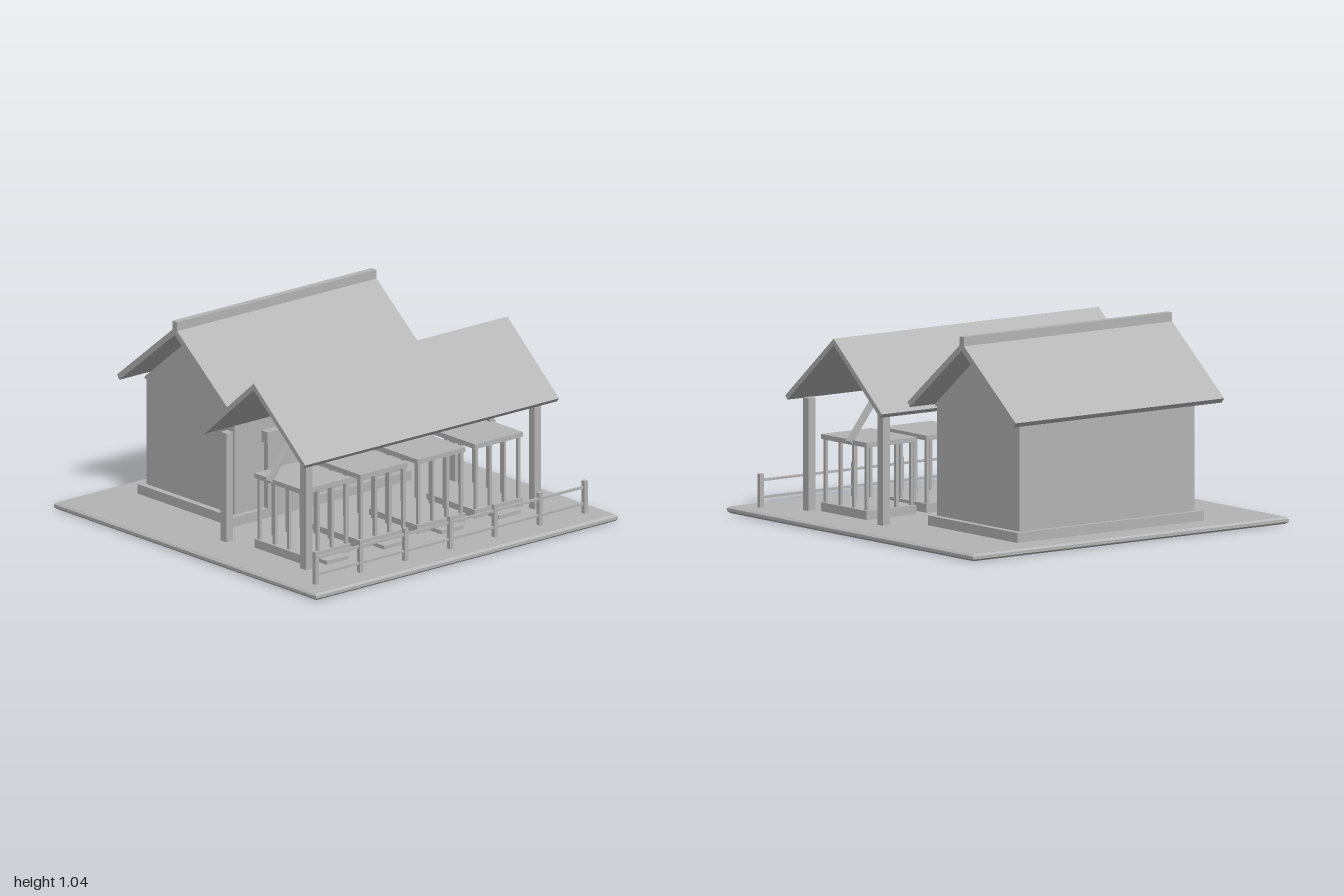
import * as THREE from 'three';

const grey = new THREE.MeshStandardMaterial({ color: 0xb4b4b4 });
grey.name = 'plain grey';

const FLOOR = 0.035;

function add(parent, name, geometry, x = 0, y = 0, z = 0) {
  const mesh = new THREE.Mesh(geometry, grey);
  mesh.name = name;
  mesh.position.set(x, y, z);
  parent.add(mesh);
  return mesh;
}

// Box given by its min and max on each axis
function block(parent, name, x0, x1, y0, y1, z0, z1) {
  return add(parent, name, new THREE.BoxGeometry(x1 - x0, y1 - y0, z1 - z0),
    (x0 + x1) / 2, (y0 + y1) / 2, (z0 + z1) / 2);
}

// Upright square bar
function bar(parent, name, x, z, y0, y1, w) {
  return block(parent, name, x - w / 2, x + w / 2, y0, y1, z - w / 2, z + w / 2);
}

// Two tilted slabs meeting at a ridge that runs along x
function gableRoof(parent, name, halfWidth, ridgeY, ridgeZ, run, drop, thick) {
  const angle = Math.atan2(drop, run);
  const length = Math.hypot(run, drop);
  for (const s of [-1, 1]) {
    const slab = add(parent, name, new THREE.BoxGeometry(halfWidth * 2, thick, length), 0,
      ridgeY - drop / 2 - Math.cos(angle) * thick / 2,
      ridgeZ + s * (run / 2 - Math.sin(angle) * thick / 2));
    slab.rotation.x = s * angle;
  }
}

function createBase() {
  const s = 0.988;
  const shape = new THREE.Shape();
  shape.moveTo(-s, -s).lineTo(s, -s).lineTo(s, s).lineTo(-s, s).closePath();
  const geo = new THREE.ExtrudeGeometry(shape, {
    depth: 0.015, bevelEnabled: true, bevelSize: 0.012, bevelThickness: 0.01, bevelSegments: 1,
  });
  geo.rotateX(-Math.PI / 2);
  geo.translate(0, 0.01, 0);
  return geo;
}

function createHouse() {
  const house = new THREE.Group();
  house.name = 'house';
  block(house, 'foundation', -0.59, 0.59, FLOOR, 0.085, -0.835, -0.105);
  block(house, 'walls', -0.555, 0.555, 0.085, 0.64, -0.805, -0.135);

  // Triangular end plates above the walls
  const tri = new THREE.Shape();
  tri.moveTo(-0.81, 0.64).lineTo(-0.13, 0.64).lineTo(-0.13, 0.65);
  tri.lineTo(-0.47, 0.925).lineTo(-0.81, 0.65).closePath();
  const plate = new THREE.ExtrudeGeometry(tri, { depth: 0.02, bevelEnabled: false });
  plate.rotateY(-Math.PI / 2);
  for (const x of [-0.543, 0.563]) add(house, 'gable', plate, x);

  gableRoof(house, 'houseRoof', 0.66, 1.008, -0.47, 0.44, 0.352, 0.03);
  block(house, 'ridgeCap', -0.66, 0.66, 0.99, 1.04, -0.488, -0.452);

  // Doorway on the front wall
  block(house, 'door', -0.36, -0.05, FLOOR, 0.43, -0.136, -0.105);
  block(house, 'lintel', -0.375, -0.035, 0.43, 0.49, -0.136, -0.09);
  return house;
}

function createPavilion() {
  const pavilion = new THREE.Group();
  pavilion.name = 'pavilion';
  for (const x of [-0.757, 0.757]) {
    for (const z of [0.04, 0.645]) bar(pavilion, 'pavilionPost', x, z, FLOOR, 0.605, 0.044);
    // Slanted brace under the middle of the roof
    const brace = add(pavilion, 'brace', new THREE.BoxGeometry(0.026, 0.24, 0.026),
      Math.sign(x) * 0.667, 0.508, 0.342);
    brace.rotation.z = Math.sign(x) * 0.66;
  }
  gableRoof(pavilion, 'pavilionRoof', 0.84, 0.948, 0.34, 0.393, 0.335, 0.026);
  return pavilion;
}

// Barred pen with a floor, a lid and a tray in front
function createPen(x) {
  const pen = new THREE.Group();
  pen.name = 'pen';
  pen.position.x = x;
  block(pen, 'penFloor', -0.158, 0.158, FLOOR, 0.08, 0.216, 0.586);
  block(pen, 'penLid', -0.158, 0.158, 0.4, 0.425, 0.216, 0.586);
  block(pen, 'tray', -0.072, 0.072, FLOOR, 0.055, 0.586, 0.67);
  for (let i = 0; i < 4; i++) {
    const u = -0.14 + i * 0.0933;
    bar(pen, 'frontBar', u, 0.57, 0.08, 0.4, 0.016);
    bar(pen, 'backBar', u, 0.236, 0.08, 0.4, 0.016);
  }
  for (const s of [-1, 1]) {
    for (const z of [0.347, 0.455]) bar(pen, 'sideBar', s * 0.135, z, 0.08, 0.4, 0.016);
  }
  return pen;
}

function createFence() {
  const fence = new THREE.Group();
  fence.name = 'fence';
  const z = 0.87;
  for (let i = 0; i < 7; i++) {
    bar(fence, 'fencePost', -0.89 + i * 0.2967, z, FLOOR, 0.205, 0.023);
  }
  for (const y of [0.085, 0.172]) {
    block(fence, 'fenceRail', -0.89, 0.89, y - 0.006, y + 0.006, z - 0.006, z + 0.006);
  }
  return fence;
}

export function createModel() {
  const model = new THREE.Group();
  model.name = 'penYard';
  add(model, 'base', createBase());
  model.add(createHouse(), createPavilion(), createFence());
  for (const x of [-0.57, -0.19, 0.19, 0.57]) model.add(createPen(x));
  return model;
}
